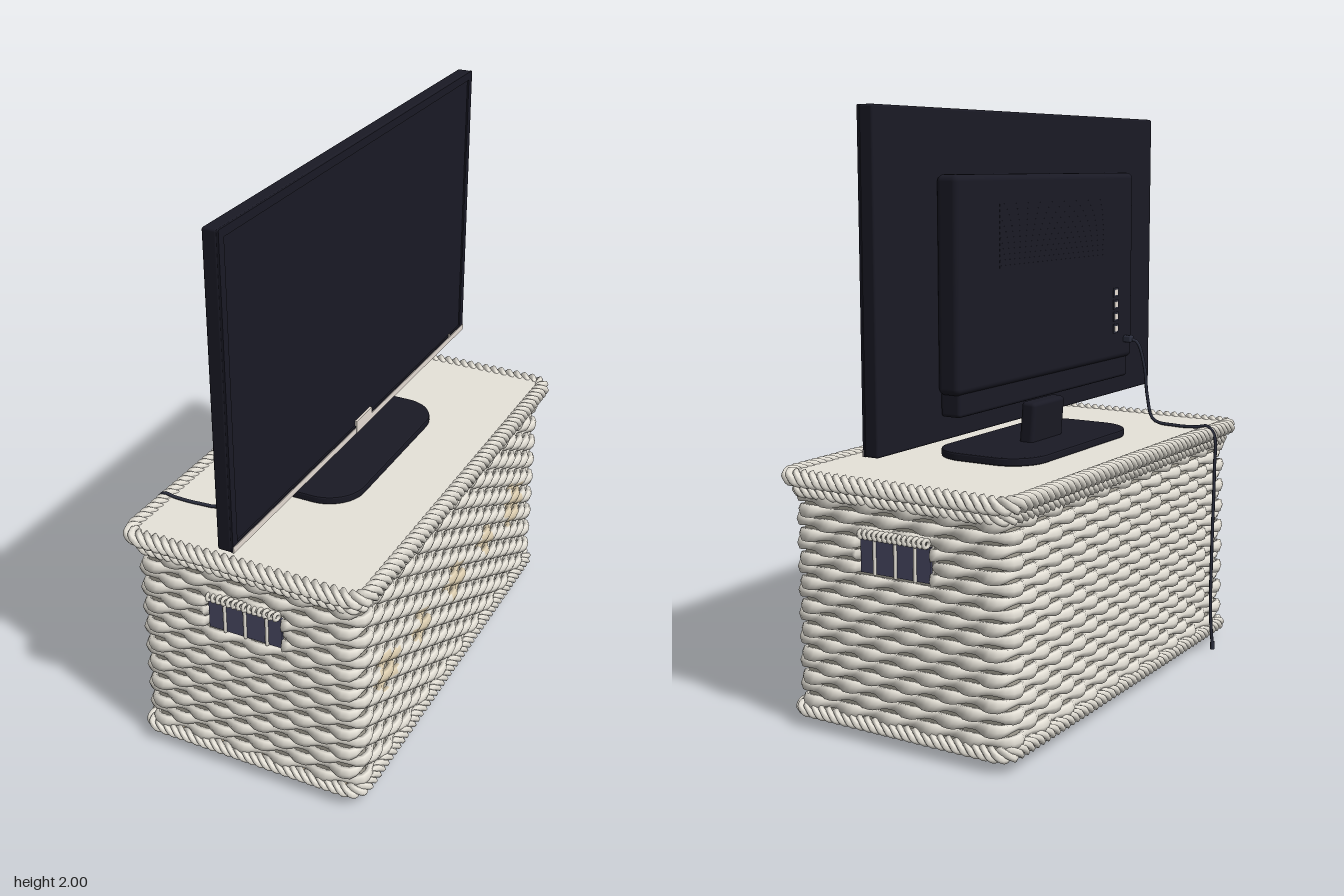
import * as THREE from 'three';
import { RoundedBoxGeometry } from 'three/addons/geometries/RoundedBoxGeometry.js';

const mat = (name, color) => {
  const m = new THREE.MeshStandardMaterial({ color });
  m.name = name;
  return m;
};

// Point and outward normal on a rounded rectangle, t in 0..1
function ring(hx, hz, r) {
  const w = 2 * (hx - r), d = 2 * (hz - r), arc = Math.PI * r / 2;
  const total = 2 * (w + d) + 4 * arc;
  return (t) => {
    let s = (t % 1) * total;
    for (let k = 0; k < 4; k++) {
      const cx = (k === 0 || k === 3 ? 1 : -1) * (hx - r), cz = (k < 2 ? 1 : -1) * (hz - r);
      const len = k % 2 ? d : w;
      const a = (k + Math.min(s / arc, 1)) * Math.PI / 2;
      const nx = Math.cos(a), nz = Math.sin(a);
      if (s <= arc) return { x: cx + r * nx, z: cz + r * nz, nx, nz };
      s -= arc;
      if (s <= len) return { x: cx + r * nx - nz * s, z: cz + r * nz + nx * s, nx, nz };
      s -= len;
    }
    return { x: hx, z: hz - r, nx: 1, nz: 0 };
  };
}

// Closed strand following a ring; pick(x, y, z, nx) chooses material group 0 or 1
function strand(n, m, section, pick = () => 0) {
  const pos = [], lists = [[], []];
  for (let i = 0; i < n; i++) {
    const c = section(i / n);
    for (let j = 0; j < m; j++) {
      const a = j / m * Math.PI * 2, o = c.rn * Math.cos(a);
      pos.push(c.x + c.nx * o, c.y + c.ry * Math.sin(a), c.z + c.nz * o);
    }
    const i2 = (i + 1) % n;
    for (let j = 0; j < m; j++) {
      const j2 = (j + 1) % m, A = i * m + j, B = i * m + j2, C = i2 * m + j, D = i2 * m + j2;
      lists[pick(c.x, pos[3 * A + 1], c.z, c.nx)].push(A, B, C, B, D, C);
    }
  }
  const g = new THREE.BufferGeometry();
  g.setAttribute('position', new THREE.Float32BufferAttribute(pos, 3));
  g.setIndex([...lists[0], ...lists[1]]);
  g.addGroup(0, lists[0].length, 0);
  if (lists[1].length) g.addGroup(lists[0].length, lists[1].length, 1);
  g.computeVertexNormals();
  return g;
}

function roundedRect(hx, hy, r, Type = THREE.Shape) {
  const s = new Type();
  s.absarc(hx - r, hy - r, r, 0, Math.PI / 2);
  s.absarc(r - hx, hy - r, r, Math.PI / 2, Math.PI);
  s.absarc(r - hx, r - hy, r, Math.PI, Math.PI * 1.5);
  s.absarc(hx - r, r - hy, r, Math.PI * 1.5, Math.PI * 2);
  s.closePath();
  return s;
}

export function createModel() {
  const wicker = mat('wicker', 0xe8e4da), flower = mat('faded flower', 0xdfd0b2);
  const lidColour = mat('lid', 0xe9e5dc), gap = mat('inner wall', 0xa8a498);
  const under = mat('underside', 0xbdad95), foot = mat('foot wood', 0xe2d8bf);
  const opening = mat('handle opening', 0x4b4b66), black = mat('television black', 0x1a1a25);
  const cord = mat('cord', 0x2b2e3d), silver = mat('silver trim', 0xf6ece2);

  const model = new THREE.Group();
  const chest = new THREE.Group(), tv = new THREE.Group();
  chest.name = 'wickerChest';
  tv.name = 'television';
  model.add(chest, tv);
  const add = (parent, name, geo, material, x = 0, y = 0, z = 0) => {
    const mesh = new THREE.Mesh(geo, material);
    mesh.name = name;
    mesh.position.set(x, y, z);
    parent.add(mesh);
    return mesh;
  };
  const box = (x, y, z) => new THREE.BoxGeometry(x, y, z);

  // Solid core, lid and underside
  add(chest, 'innerWall', box(0.76, 0.76, 1.53), gap, 0, 0.44, 0);
  const slab = (hx, hz, r, h) => new THREE.ExtrudeGeometry(roundedRect(hx, hz, r),
    { depth: h, bevelEnabled: false, curveSegments: 10 }).rotateX(-Math.PI / 2);
  add(chest, 'lid', slab(0.425, 0.805, 0.05, 0.03), lidColour, 0, 0.823, 0);
  add(chest, 'underside', slab(0.41, 0.79, 0.05, 0.02), under, 0, 0.04, 0);

  // Woven rows, pushed in behind the end handles, with faded round flowers on one side
  const wall = ring(0.4, 0.785, 0.05);
  const blooms = [[0.58, 0.09], [0.3, 0.07], [0, 0.085], [-0.29, 0.065], [-0.57, 0.095]];
  const isFlower = (x, y, z, nx) => nx > 0.9 && blooms.some(([c, r]) => {
    const dz = z - c, dy = y - 0.42;
    return Math.hypot(dz, dy) < r * (0.9 + 0.12 * Math.cos(5 * Math.atan2(dy, dz)));
  }) ? 1 : 0;
  for (let row = 0; row < 18; row++) {
    const y = 0.09 + row * 0.04, phase = row % 2 ? Math.PI : 0;
    add(chest, 'wovenRow', strand(240, 6, (t) => {
      const p = wall(t), c = Math.cos(t * 30 * Math.PI * 2 + phase);
      const wave = Math.sign(c) * Math.sqrt(Math.abs(c));
      const notch = Math.abs(p.nz) > 0.9 && Math.abs(p.x) < 0.135 && y > 0.56 && y < 0.67;
      const off = wave * 0.01 - (notch ? 0.045 : 0);
      return { x: p.x + p.nx * off, y, z: p.z + p.nz * off, nx: p.nx, nz: p.nz,
        rn: 0.014, ry: 0.0195 + 0.005 * wave };
    }, isFlower), [wicker, flower]);
  }

  // Twisted rope rims, three strands each
  const rope = (name, hx, hz, y, r) => {
    const path = ring(hx, hz, 0.05);
    for (let k = 0; k < 3; k++) add(chest, name, strand(600, 6, (t) => {
      const p = path(t), f = t * 50 * Math.PI * 2 + k * Math.PI * 2 / 3, o = Math.cos(f) * r * 0.48;
      return { x: p.x + p.nx * o, y: y + Math.sin(f) * r * 0.48, z: p.z + p.nz * o,
        nx: p.nx, nz: p.nz, rn: r * 0.54, ry: r * 0.54 };
    }), wicker);
  };
  rope('topRim', 0.427, 0.807, 0.837, 0.031);
  rope('lowerTopRim', 0.408, 0.79, 0.793, 0.024);
  rope('bottomRim', 0.41, 0.792, 0.057, 0.026);

  // Handles at both ends, and feet
  for (const s of [1, -1]) {
    add(chest, 'handleOpening', box(0.27, 0.115, 0.008), opening, 0, 0.615, s * 0.788);
    for (const x of [-0.075, 0, 0.08])
      add(chest, 'handleStake', new THREE.CylinderGeometry(0.006, 0.006, 0.12, 8), wicker, x, 0.615, s * 0.793);
    for (let i = 0; i < 14; i++)
      add(chest, 'handleWrap', new THREE.TorusGeometry(0.012, 0.007, 5, 10).rotateY(1.3), wicker,
        -0.124 + i * 0.019, 0.685, s * 0.802);
    for (const x of [-0.325, 0.325])
      add(chest, 'foot', new THREE.CylinderGeometry(0.033, 0.033, 0.045, 20), foot, x, 0.0225, s * 0.69);
  }

  // Television body with raised bezel
  add(tv, 'screenBody', new RoundedBoxGeometry(0.05, 1.045, 1.8, 2, 0.008), black, 0.004, 1.4775, 0);
  const bezel = roundedRect(0.9, 0.5225, 0.005);
  bezel.holes.push(roundedRect(0.872, 0.494, 0.003, THREE.Path));
  add(tv, 'bezel', new THREE.ExtrudeGeometry(bezel, { depth: 0.008, bevelEnabled: false })
    .rotateY(Math.PI / 2), black, 0.027, 1.4775, 0);
  add(tv, 'bottomTrim', box(0.005, 0.022, 1.8), silver, 0.035, 0.967, 0);
  add(tv, 'trimTab', box(0.008, 0.046, 0.12), silver, 0.035, 0.98, 0);
  add(tv, 'indicator', box(0.004, 0.008, 0.012), silver, 0.036, 0.987, -0.76);

  // Rear housing with vents and sockets
  add(tv, 'rearHousing', new RoundedBoxGeometry(0.085, 0.69, 1.18, 3, 0.022), black, -0.063, 1.452, 0);
  add(tv, 'rearLowerHousing', new RoundedBoxGeometry(0.075, 0.14, 1.14, 3, 0.012), black, -0.058, 1.105, 0);
  for (let i = 0; i < 12; i++)
    add(tv, 'ventSlat', box(0.004, 0.008, 0.7), black, -0.105, 1.5 + i * 0.018, 0);
  for (let i = 0; i < 4; i++) {
    add(tv, 'socket', box(0.008, 0.034, 0.036), cord, -0.105, 1.225 + i * 0.045, 0.45);
    add(tv, 'socketFace', box(0.004, 0.02, 0.024), silver, -0.1085, 1.225 + i * 0.045, 0.45);
  }

  // Stand
  const neck = add(tv, 'neck', new RoundedBoxGeometry(0.055, 0.155, 0.21, 3, 0.014), black, -0.058, 0.943, 0);
  neck.rotation.z = 0.08;
  add(tv, 'standBase', new THREE.ExtrudeGeometry(roundedRect(0.192, 0.382, 0.125), {
    depth: 0.016, bevelSize: 0.006, bevelThickness: 0.006, bevelSegments: 2, curveSegments: 12,
  }).rotateX(-Math.PI / 2), black, -0.033, 0.859, 0);

  // Power cord over the rear edge
  const pts = [[-0.12, 1.18, 0.53], [-0.15, 1.17, 0.54], [-0.175, 1.08, 0.555], [-0.185, 0.96, 0.565],
    [-0.21, 0.875, 0.568], [-0.3, 0.86, 0.57], [-0.39, 0.862, 0.573], [-0.43, 0.868, 0.575],
    [-0.457, 0.835, 0.578], [-0.462, 0.7, 0.575], [-0.458, 0.4, 0.575], [-0.456, 0.15, 0.58],
    [-0.46, 0.012, 0.595]];
  const curve = new THREE.CatmullRomCurve3(pts.map((p) => new THREE.Vector3(...p)));
  add(tv, 'powerCord', new THREE.TubeGeometry(curve, 90, 0.006, 8), cord);
  add(tv, 'plug', new RoundedBoxGeometry(0.035, 0.026, 0.03, 2, 0.006), cord, -0.118, 1.18, 0.53);
  add(tv, 'cordEnd', new THREE.CylinderGeometry(0.008, 0.008, 0.03, 10), cord, -0.46, 0.02, 0.594);
  return model;
}
